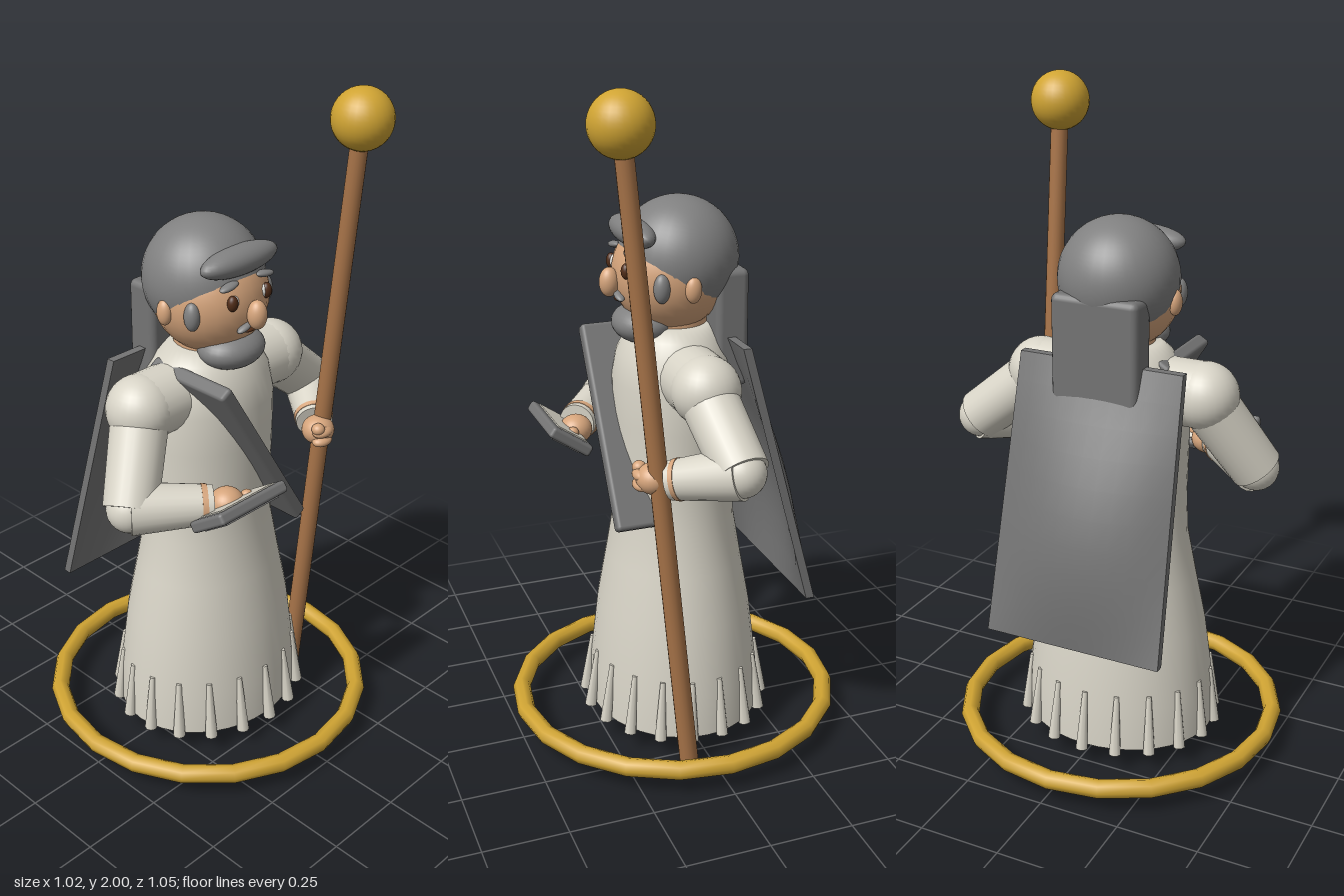
import * as THREE from 'three';
import { RoundedBoxGeometry } from 'three/addons/geometries/RoundedBoxGeometry.js';

const mat = (name, color, side = THREE.FrontSide) => {
  const m = new THREE.MeshStandardMaterial({ color, side });
  m.name = name;
  return m;
};

export function createModel() {
  const robe = mat('ivory cloth', 0xd8d4c7);
  const skin = mat('skin', 0xd6a57c);
  const hair = mat('grey hair', 0x808080);
  const slate = mat('slate grey', 0x747474);
  const gold = mat('gold', 0xd0a433);
  const wood = mat('wood', 0xa87449);
  const brown = mat('dark brown', 0x512d18);
  const white = mat('eye white', 0xf0eee8);

  const model = new THREE.Group();
  model.name = 'robedFigure';
  const MID = 0.02; // the figure's centre line in z
  const V = (x, y, z) => new THREE.Vector3(x, y, z);

  const add = (name, geometry, material, x = 0, y = 0, z = 0) => {
    const mesh = new THREE.Mesh(geometry, material);
    mesh.name = name;
    mesh.position.set(x, y, z);
    model.add(mesh);
    return mesh;
  };
  const ball = (name, material, p, r) => {
    const mesh = add(name, new THREE.SphereGeometry(1, 28, 20), material, ...p);
    mesh.scale.set(...r);
    return mesh;
  };
  // tapered cylinder from point a to point b
  const rod = (name, material, a, b, ra, rb, sides = 24) => {
    const dir = b.clone().sub(a);
    const mesh = add(name, new THREE.CylinderGeometry(rb, ra, dir.length(), sides), material);
    mesh.position.copy(a).addScaledVector(dir, 0.5);
    mesh.quaternion.setFromUnitVectors(V(0, 1, 0), dir.normalize());
    return mesh;
  };

  // Base ring
  const ring = add('baseRing', new THREE.TorusGeometry(0.482, 0.028, 8, 20), gold, 0, 0.078, MID);
  ring.rotation.x = Math.PI / 2;

  // Robe
  const profile = [[0, 0.065], [0.3, 0.065], [0.3, 0.065], [0.295, 0.2], [0.268, 0.4], [0.235, 0.56], [0.208, 0.7],
    [0.203, 0.82], [0.207, 1.0], [0.207, 1.12], [0.19, 1.2], [0.155, 1.26], [0.12, 1.29], [0, 1.29]];
  const robeMesh = add('robe', new THREE.LatheGeometry(profile.map(p => new THREE.Vector2(...p)), 40), robe, 0, 0, MID);
  robeMesh.scale.x = 0.86;

  // Pleats round the hem
  for (let i = 0; i < 18; i++) {
    const a = i * Math.PI / 9, c = Math.cos(a), s = Math.sin(a);
    rod('pleat', robe, V(0.275 * c, 0.06, MID + 0.305 * s), V(0.249 * c, 0.245, MID + 0.289 * s), 0.019, 0.008, 8);
  }

  // Soles
  for (const s of [-1, 1])
    add('sole', new RoundedBoxGeometry(0.2, 0.03, 0.09, 2, 0.01), brown, 0.06, 0.062, MID + s * 0.08);

  // Shoulders
  rod('shoulderYoke', robe, V(0, 1.158, MID - 0.265), V(0, 1.158, MID + 0.265), 0.098, 0.098);
  for (const s of [-1, 1])
    ball('shoulder', robe, [0, 1.157, MID + s * 0.265], [0.1, 0.1, 0.1]);

  // Arms: shoulder, elbow, wrist, hand
  const arm = (shoulder, elbow, wrist, hand) => {
    rod('upperArm', robe, shoulder, elbow, 0.084, 0.078);
    ball('elbow', robe, elbow.toArray(), [0.068, 0.068, 0.068]);
    rod('forearm', robe, elbow, wrist, 0.076, 0.056);
    const at = t => elbow.clone().lerp(wrist, t);
    rod('wristBand', skin, at(0.86), at(0.93), 0.061, 0.059);
    ball('hand', skin, hand.toArray(), [0.05, 0.045, 0.05]);
  };
  arm(V(0, 1.15, 0.285), V(0.09, 0.925, 0.415), V(0.235, 0.925, 0.235), V(0.25, 0.92, 0.195));
  arm(V(0, 1.15, -0.245), V(-0.025, 0.985, -0.45), V(0.13, 0.935, -0.315), V(0.17, 0.935, -0.285));
  ball('thumb', skin, [0.275, 0.93, 0.14], [0.018, 0.018, 0.018]);
  ball('thumb', skin, [0.2, 0.96, -0.25], [0.02, 0.018, 0.02]);
  for (const y of [0.945, 0.915])
    ball('finger', skin, [0.2, y, -0.27], [0.026, 0.018, 0.036]);

  // Staff
  rod('staff', wood, V(0.07, 0.003, -0.31), V(0.257, 1.88, -0.31), 0.028, 0.026, 16);
  ball('staffKnob', gold, [0.26, 1.912, -0.31], [0.088, 0.088, 0.088]);

  // Tablet with a pale top inset
  const tablet = new THREE.Group();
  tablet.name = 'tablet';
  const board = new THREE.Mesh(new RoundedBoxGeometry(0.145, 0.035, 0.262, 2, 0.01), slate);
  board.name = 'tabletBoard';
  const page = new THREE.Mesh(new THREE.BoxGeometry(0.105, 0.006, 0.21), robe);
  page.name = 'tabletPage';
  page.position.y = 0.018;
  const back = new THREE.Mesh(new THREE.BoxGeometry(0.1, 0.008, 0.21), slate);
  back.name = 'tabletBack';
  back.position.y = -0.019;
  tablet.add(board, page, back);
  tablet.position.set(0.3, 0.928, 0.197);
  tablet.rotation.z = 0.6;
  model.add(tablet);

  // Slanted slab across the chest
  const sash = add('chestSash', new RoundedBoxGeometry(0.295, 0.625, 0.045, 2, 0.012), slate, 0.088, 0.985, 0.018);
  sash.rotation.x = 0.555;

  // Cape: a thin sheet bulging at the middle of its lower half
  const cape = new THREE.BoxGeometry(0.026, 1, 1, 1, 10, 10);
  const pos = cape.attributes.position;
  for (let i = 0; i < pos.count; i++) {
    const t = 0.5 - pos.getY(i), u = pos.getZ(i) * 2;
    const bulge = 0.075 * (1 - u * u) * Math.sin(Math.PI * Math.pow(t, 1.2));
    pos.setXYZ(i, pos.getX(i) - 0.13 - 0.215 * t - bulge, 1.26 - 0.81 * t, 0.022 + 0.008 * t + u * (0.255 + 0.022 * t));
  }
  cape.computeVertexNormals();
  add('cape', cape, slate);

  // Hood block behind the neck
  add('hood', new RoundedBoxGeometry(0.1, 0.35, 0.27, 2, 0.02), slate, -0.136, 1.282, MID);

  // Head and hair
  rod('neck', skin, V(0, 1.24, MID), V(0, 1.34, MID), 0.1, 0.1);
  ball('head', skin, [0.01, 1.436, MID], [0.168, 0.17, 0.168]);
  const cap = add('hair', new THREE.SphereGeometry(0.176, 32, 24, 0, Math.PI * 2, 0, 2.1), hair, -0.016, 1.479, MID);
  cap.rotation.z = 0.12;
  ball('fringe', hair, [0.122, 1.562, MID], [0.052, 0.042, 0.143]).rotation.z = 0.2;
  ball('beard', hair, [0.094, 1.293, MID], [0.088, 0.058, 0.106]);
  ball('nose', skin, [0.192, 1.42, MID], [0.029, 0.043, 0.028]);

  // Paired facial features
  for (const s of [-1, 1]) {
    ball('ear', skin, [0, 1.42, MID + s * 0.168], [0.024, 0.038, 0.02]);
    ball('sideburn', hair, [0.085, 1.425, MID + s * 0.145], [0.024, 0.042, 0.022]);
    ball('eyeWhite', white, [0.158, 1.464, MID + s * 0.06], [0.014, 0.02, 0.019]);
    ball('pupil', brown, [0.163, 1.464, MID + s * 0.067], [0.015, 0.023, 0.016]);
    ball('eyebrow', hair, [0.152, 1.511, MID + s * 0.07], [0.016, 0.01, 0.034]).rotation.x = s * 0.15;
    ball('moustache', hair, [0.172, 1.385, MID + s * 0.028], [0.014, 0.009, 0.028]).rotation.x = s * 0.35;
  }
  ball('mouth', brown, [0.168, 1.368, MID], [0.008, 0.005, 0.022]);

  return model;
}
